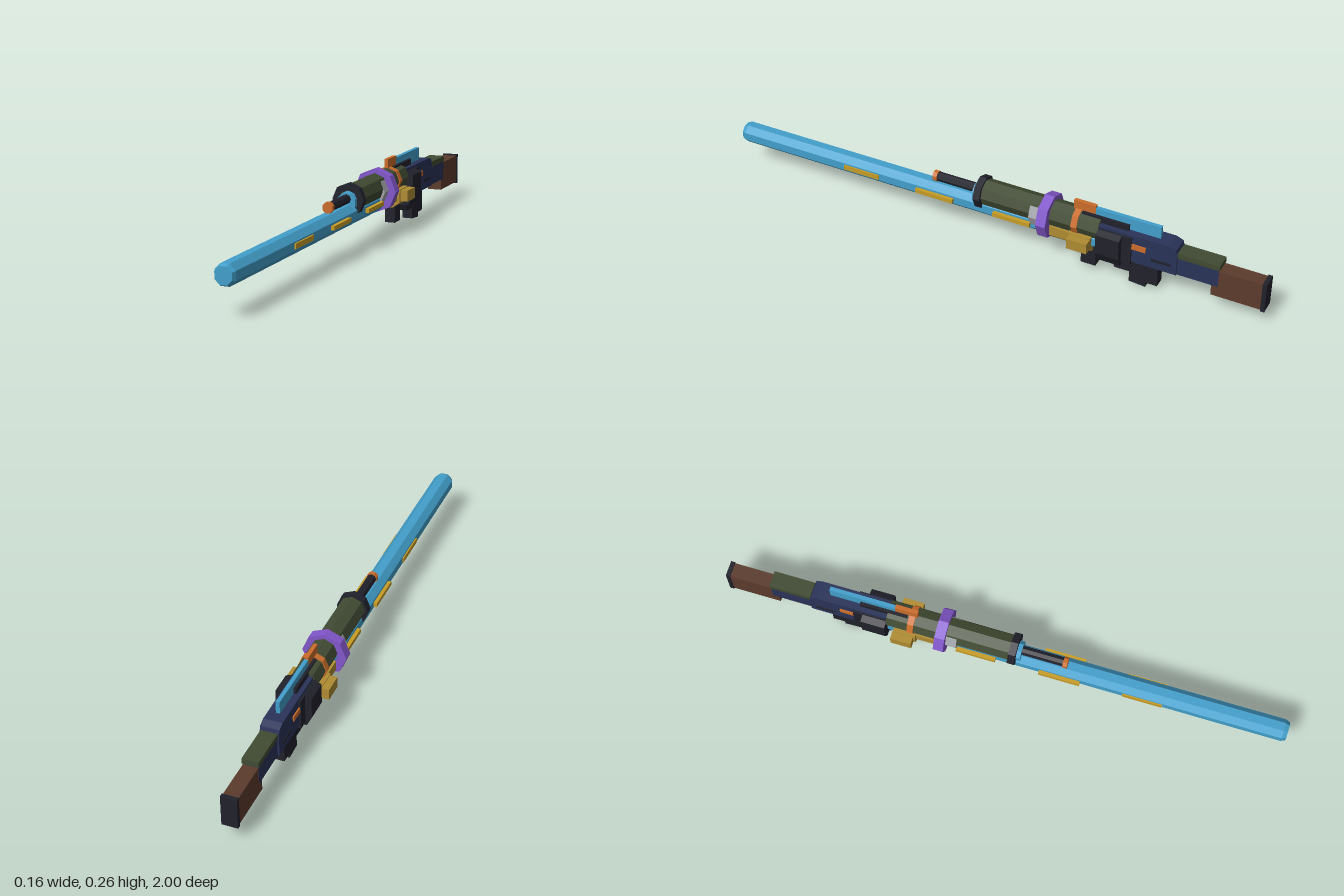
import * as THREE from 'three';

const mat = (name, color) => {
  const m = new THREE.MeshStandardMaterial({ color, flatShading: true });
  m.name = name;
  return m;
};

export function createModel() {
  const blue = mat('blue', 0x429fcb), navy = mat('navy', 0x2a3359), green = mat('olive', 0x414b33);
  const purple = mat('purple', 0x8257cb), gold = mat('gold', 0xb08c33), yellow = mat('yellow', 0xc79d26);
  const brown = mat('brown', 0x5c3b2d), black = mat('black', 0x20212b), orange = mat('orange', 0xcb6d2b);
  const grey = mat('grey', 0xa3a6aa);
  const root = new THREE.Group();

  const add = (name, geo, material) => {
    const m = new THREE.Mesh(geo, material);
    m.name = name;
    root.add(m);
    return m;
  };
  // Box given by its limits on each axis
  const box = (name, m, x0, x1, y0, y1, z0, z1) => {
    const g = new THREE.BoxGeometry(x1 - x0, y1 - y0, z1 - z0);
    g.translate((x0 + x1) / 2, (y0 + y1) / 2, (z0 + z1) / 2);
    return add(name, g, m);
  };
  // Octagonal bar along z; flat puts a face rather than an edge on top
  const bar = (name, m, r, y, z0, z1, flat = false, rFront = r) => {
    const g = new THREE.CylinderGeometry(rFront, r, z1 - z0, 8);
    if (flat) g.rotateY(Math.PI / 8);
    g.rotateX(Math.PI / 2);
    g.translate(0, y, (z0 + z1) / 2);
    return add(name, g, m);
  };
  // Octagonal ring along z
  const ring = (name, m, r, hole, y, z0, z1) => {
    const pts = (rad) => Array.from({ length: 8 }, (_, i) =>
      new THREE.Vector2(rad * Math.sin(i * Math.PI / 4), rad * Math.cos(i * Math.PI / 4)));
    const s = new THREE.Shape(pts(r));
    s.holes.push(new THREE.Path(pts(hole)));
    const g = new THREE.ExtrudeGeometry(s, { depth: z1 - z0, bevelEnabled: false });
    g.translate(0, y, z0);
    return add(name, g, m);
  };
  // Side profile of [z, y] points, extruded across x
  const slab = (name, m, half, pts) => {
    const s = new THREE.Shape(pts.map(p => new THREE.Vector2(p[0], p[1])));
    const g = new THREE.ExtrudeGeometry(s, { depth: half * 2, bevelEnabled: false });
    g.rotateY(-Math.PI / 2);
    g.translate(half, 0, 0);
    return add(name, g, m);
  };
  // Front outline of [x, y] points, extruded along z
  const section = (name, m, pts, z0, z1) => {
    const s = new THREE.Shape(pts.map(p => new THREE.Vector2(p[0], p[1])));
    const g = new THREE.ExtrudeGeometry(s, { depth: z1 - z0, bevelEnabled: false });
    g.translate(0, 0, z0);
    return add(name, g, m);
  };

  // Long barrel with chamfered muzzle
  bar('barrel', blue, 0.038, 0.133, -0.42, 0.985, true);
  bar('muzzle', blue, 0.038, 0.133, 0.985, 1, true, 0.031);

  // Upper receiver tube, collar and piston
  bar('receiverTube', green, 0.047, 0.184, -0.41, 0.03);
  ring('frontCollar', black, 0.058, 0.034, 0.181, 0.025, 0.05);
  bar('collarSleeve', blue, 0.035, 0.175, 0.02, 0.065, true);
  bar('pistonRod', black, 0.017, 0.187, 0.06, 0.212);
  bar('pistonTip', orange, 0.02, 0.187, 0.21, 0.226, true);

  // Bands around the receiver
  ring('purpleRing', purple, 0.079, 0.046, 0.168, -0.232, -0.196);
  ring('greyBand', grey, 0.053, 0.044, 0.172, -0.196, -0.158);
  ring('orangeBand', orange, 0.051, 0.044, 0.184, -0.335, -0.313);

  // Gold lower cradle and side knobs
  section('cradle', gold, [[-0.052, 0.155], [-0.052, 0.108], [-0.025, 0.088], [0.025, 0.088],
    [0.052, 0.108], [0.052, 0.155]], -0.385, -0.305);
  section('cradleNose', gold, [[-0.042, 0.15], [-0.042, 0.115], [-0.02, 0.094], [0.02, 0.094],
    [0.042, 0.115], [0.042, 0.15]], -0.305, -0.23);

  for (const s of [-1, 1]) {
    const side = (name, m, a, b, ...rest) => box(name, m, Math.min(s * a, s * b), Math.max(s * a, s * b), ...rest);
    side('sideKnob', gold, 0.045, 0.079, 0.112, 0.152, -0.386, -0.312);
    // Strips along the barrel
    side('frontStrip', yellow, 0.03, 0.04, 0.124, 0.142, 0.43, 0.57);
    side('middleStrip', yellow, 0.03, 0.048, 0.125, 0.14, 0.135, 0.28);
    side('rearStrip', yellow, 0.03, 0.049, 0.125, 0.14, -0.16, -0.02);
    // Small orange plates on the body
    side('bodyPlate', orange, 0.032, 0.038, 0.156, 0.176, -0.58, -0.53);
    side('bodySlot', black, 0.032, 0.036, 0.13, 0.139, -0.67, -0.6);
  }

  // Sight, top fin and rail
  box('sight', orange, -0.007, 0.007, 0.22, 0.263, -0.385, -0.305);
  box('topFin', blue, -0.007, 0.007, 0.2, 0.255, -0.62, -0.385);
  box('topRail', black, -0.017, 0.017, 0.2, 0.231, -0.51, -0.34);

  // Rear body
  slab('body', navy, 0.033, [[-0.4, 0.1], [-0.4, 0.21], [-0.66, 0.21], [-0.685, 0.2], [-0.69, 0.18],
    [-0.69, 0.1]]);
  slab('bodyTail', navy, 0.027, [[-0.68, 0.1], [-0.68, 0.182], [-0.835, 0.182], [-0.835, 0.1]]);
  box('tailCover', green, -0.029, 0.029, 0.168, 0.188, -0.838, -0.69);
  section('blackHousing', black, [[-0.063, 0.19], [-0.063, 0.115], [-0.045, 0.078], [0.045, 0.078],
    [0.063, 0.115], [0.063, 0.19], [0.04, 0.2], [-0.04, 0.2]], -0.495, -0.41);
  box('housingStep', black, -0.04, 0.04, 0.09, 0.2, -0.53, -0.495);

  // Grip and magazine
  box('foregrip', black, -0.019, 0.019, 0.024, 0.11, -0.396, -0.342);
  slab('magazine', black, 0.019, [[-0.455, 0.11], [-0.455, 0.075], [-0.465, 0.045], [-0.52, 0.045],
    [-0.52, 0.005], [-0.58, 0], [-0.58, 0.018], [-0.622, 0.018], [-0.622, 0.09], [-0.64, 0.11]]);

  // Stock
  box('stock', brown, -0.026, 0.026, 0.06, 0.164, -0.987, -0.812);
  box('buttPlate', black, -0.028, 0.028, 0.055, 0.168, -1, -0.985);

  return root;
}
